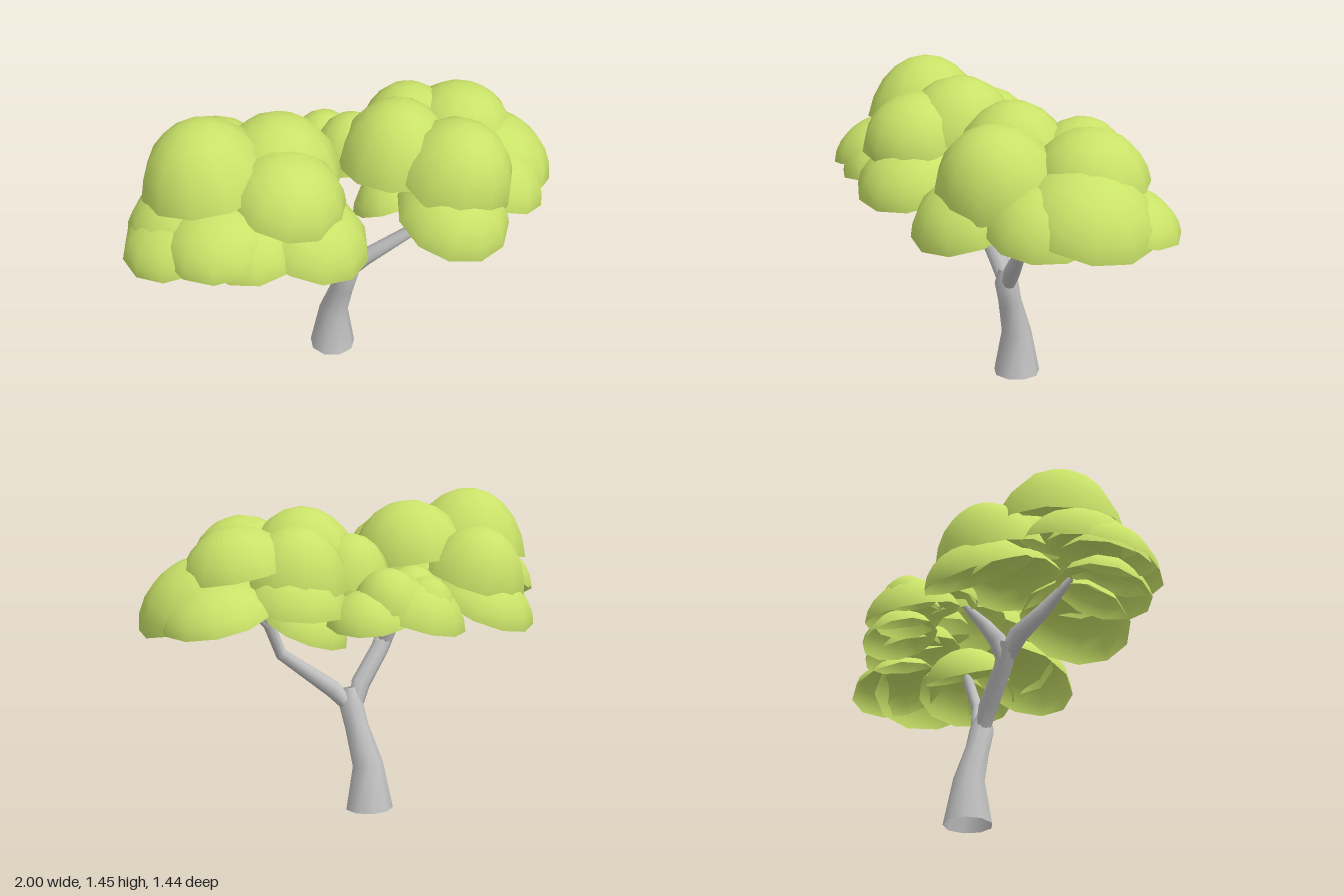
import * as THREE from 'three';

const leafGreen = new THREE.MeshStandardMaterial({ color: 0xc9e268, side: THREE.DoubleSide });
const barkGrey = new THREE.MeshStandardMaterial({ color: 0xc2c2c2, side: THREE.DoubleSide });
leafGreen.name = 'leafGreen';
barkGrey.name = 'barkGrey';

const UP = new THREE.Vector3(0, 1, 0);

// Foliage shells: rim centre x, y, z, radius, height, lean in x, lean in z
const leftCrown = [
  [-0.56, 1.16, -0.27, 0.29, 0.29, -0.1, -0.1],
  [-0.27, 1.15, -0.13, 0.28, 0.25, 0.15, 0.05],
  [-0.27, 1.04, -0.2, 0.22, 0.15, 0.15, 0],
  [-0.32, 1.05, -0.44, 0.245, 0.24, 0, -0.35],
  [-0.3, 0.94, -0.5, 0.25, 0.15, 0.05, -0.5],
  [-0.4, 1.13, 0.04, 0.26, 0.2, 0, 0.35],
  [-0.36, 0.95, 0.14, 0.26, 0.18, 0.05, 0.4],
  [-0.77, 0.98, -0.26, 0.24, 0.14, -0.35, -0.02],
  [-0.7, 1.02, -0.08, 0.24, 0.15, -0.28, 0.15],
  [-0.69, 1.03, -0.31, 0.25, 0.16, -0.3, -0.2],
  [-0.61, 0.97, 0.0, 0.22, 0.15, -0.15, 0.2],
];
const rightCrown = [
  [0.2, 1.1, 0.15, 0.275, 0.285, -0.03, 0.06],
  [0.28, 1.08, 0.41, 0.275, 0.265, 0, 0.45],
  [0.61, 1.13, 0.2, 0.25, 0.19, 0.2, 0.08],
  [0.67, 0.98, 0.34, 0.3, 0.21, 0.38, 0.2],
  [0.19, 0.94, 0.48, 0.26, 0.18, -0.1, 0.42],
  [0.53, 0.95, 0.45, 0.25, 0.18, 0.2, 0.3],
  [0.77, 0.95, 0.19, 0.24, 0.14, 0.3, 0],
  [0.45, 1.08, 0.02, 0.24, 0.24, 0.12, -0.2],
  [0.5, 0.99, -0.01, 0.24, 0.17, 0.1, -0.2],
  [0.14, 1.05, -0.05, 0.2, 0.22, -0.03, -0.15],
  [0.25, 0.84, 0.1, 0.2, 0.14, -0.05, -0.42],
];
const backCrown = [
  [0.15, 0.93, -0.41, 0.22, 0.16, 0, -0.35],
  [0.14, 0.98, -0.45, 0.13, 0.12, -0.05, -0.2],
  [0.25, 0.98, -0.33, 0.165, 0.16, 0.2, 0],
  [0.02, 1.01, -0.31, 0.135, 0.12, -0.15, 0],
  [0.34, 0.92, -0.28, 0.18, 0.13, 0.25, -0.1],
];

// Open cap, faceted around the rim and tilted towards its lean
function leafShell([x, y, z, r, h, lx, lz], i) {
  const arc = 1.3;
  const geo = new THREE.SphereGeometry(1, 11, 5, i * 1.3, Math.PI * 2, 0, arc);
  geo.translate(0, -Math.cos(arc), 0);
  geo.scale(r / Math.sin(arc), h / (1 - Math.cos(arc)), r / Math.sin(arc));
  const mesh = new THREE.Mesh(geo, leafGreen);
  mesh.name = 'leafShell' + (i + 1);
  mesh.position.set(x, y, z);
  mesh.quaternion.setFromUnitVectors(UP, new THREE.Vector3(lx, 1, lz).normalize());
  return mesh;
}

function crown(name, shells) {
  const group = new THREE.Group();
  group.name = name;
  shells.forEach((s, i) => group.add(leafShell(s, i)));
  return group;
}

// Tapered limb with one ring at each point [x, y, z, radius]
function limb(name, pts) {
  const centres = pts.map((p) => new THREE.Vector3(p[0], p[1], p[2]));
  const last = pts.length - 1, sides = 9, rings = [], index = [];
  centres.forEach((c, i) => {
    const before = centres[Math.max(i - 1, 0)], after = centres[Math.min(i + 1, last)];
    const dir = after.clone().sub(before).normalize();
    const side = new THREE.Vector3(dir.y, -dir.x, 0).normalize();
    const front = side.clone().cross(dir).normalize();
    for (let j = 0; j < sides; j++) {
      const a = (j / sides) * Math.PI * 2;
      const v = c.clone().addScaledVector(side, pts[i][3] * Math.cos(a)).addScaledVector(front, pts[i][3] * Math.sin(a));
      rings.push(v.x, Math.max(v.y, 0), v.z);
      if (i < last) {
        const p = i * sides + j, q = i * sides + ((j + 1) % sides);
        index.push(p, p + sides, q, q, p + sides, q + sides);
      }
    }
  });
  const geo = new THREE.BufferGeometry();
  geo.setAttribute('position', new THREE.Float32BufferAttribute(rings, 3));
  geo.setIndex(index);
  geo.computeVertexNormals();
  const mesh = new THREE.Mesh(geo, barkGrey);
  mesh.name = name;
  return mesh;
}

export function createModel() {
  const tree = new THREE.Group();
  tree.name = 'tree';

  // Trunk, forks and twigs
  tree.add(
    limb('trunk', [[0.058, 0, -0.113, 0.11], [0.06, 0.21, -0.105, 0.071], [0.06, 0.38, -0.045, 0.055], [0.06, 0.48, -0.015, 0.056], [0.06, 0.555, -0.005, 0.03]]),
    limb('leftFork', [[0.05, 0.45, -0.03, 0.03], [0.01, 0.57, -0.035, 0.045], [-0.1, 0.72, -0.07, 0.042], [-0.15, 0.83, -0.09, 0.045]]),
    limb('leftLimb', [[-0.1, 0.74, -0.075, 0.038], [-0.2, 0.86, -0.08, 0.045], [-0.33, 0.94, -0.07, 0.034], [-0.48, 1.06, -0.06, 0.014]]),
    limb('backLimb', [[-0.12, 0.76, -0.08, 0.04], [-0.1, 0.85, -0.11, 0.042], [-0.05, 0.93, -0.14, 0.032], [0.03, 1.04, -0.19, 0.014]]),
    limb('rightFork', [[0.065, 0.46, -0.02, 0.03], [0.12, 0.55, 0.04, 0.04], [0.275, 0.72, 0.22, 0.028], [0.35, 0.89, 0.245, 0.027], [0.4, 1.04, 0.24, 0.012]]),
    limb('rightTwig', [[0.34, 0.86, 0.24, 0.024], [0.4, 0.94, 0.3, 0.02], [0.5, 1.01, 0.38, 0.01]])
  );

  // Foliage
  tree.add(crown('leftCrown', leftCrown), crown('rightCrown', rightCrown), crown('backCrown', backCrown));
  return tree;
}
